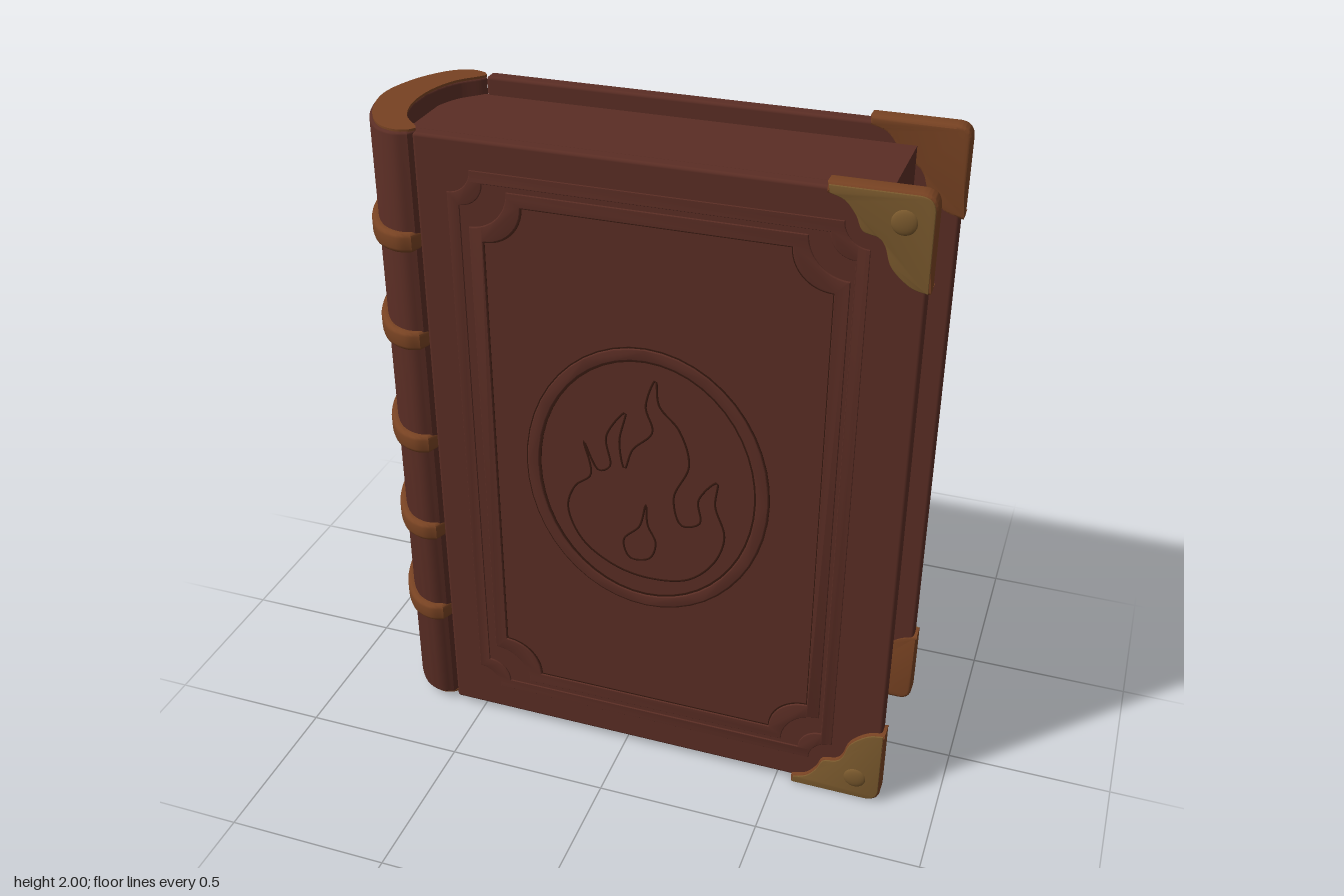
import * as THREE from 'three';
import { toCreasedNormals } from 'three/addons/utils/BufferGeometryUtils.js';
import { RoundedBoxGeometry } from 'three/addons/geometries/RoundedBoxGeometry.js';

const material = (name, color) => {
  const m = new THREE.MeshStandardMaterial({ color });
  m.name = name;
  return m;
};
const V2 = (p) => new THREE.Vector2(p[0], p[1]);

export function createModel() {
  const leather = material('brown leather', 0x5a2d24);
  const tan = material('tan leather', 0x774222);
  const gold = material('aged gold', 0x7a592d);
  const groove = material('dark groove', 0x35180f);

  const book = new THREE.Group();
  book.name = 'book';
  const add = (name, geometry, mat, x = 0, y = 0, z = 0, parent = book) => {
    const mesh = new THREE.Mesh(geometry, mat);
    mesh.name = name;
    mesh.position.set(x, y, z);
    parent.add(mesh);
    return mesh;
  };
  const extrude = (shape, depth, bevel = 0) => toCreasedNormals(new THREE.ExtrudeGeometry(shape, {
    depth: depth - 2 * bevel, bevelEnabled: bevel > 0, bevelSize: bevel, bevelThickness: bevel,
    bevelOffset: -bevel, bevelSegments: 3, curveSegments: 24,
  }).translate(0, 0, bevel), 0.6);

  // Page block
  add('pages', new THREE.BoxGeometry(1.375, 1.86, 0.45), leather, -0.0025, 1.0, 0);

  // Crescent section of the spine, grown outwards by g
  const crescent = (g) => {
    const half = [[-0.82, 0], [-0.808, 0.08], [-0.77, 0.175], [-0.71, 0.25], [-0.65, 0.272], [-0.612, 0.26]];
    const outer = half.map(([x, z]) => {
      const d = Math.hypot(x + 0.55, z);
      return [x + g * (x + 0.55) / d, z + g * z / d];
    });
    const mirror = outer.slice(1).reverse().map(([x, z]) => [x, -z]);
    const shape = new THREE.Shape();
    shape.setFromPoints(new THREE.CatmullRomCurve3(
      [...mirror, ...outer].map(([x, z]) => new THREE.Vector3(x, z, 0))).getPoints(48).map((p) => new THREE.Vector2(p.x, p.y)));
    shape.lineTo(-0.598, 0.235);
    shape.splineThru([[-0.61, 0.215], [-0.66, 0.16], [-0.69, 0.085], [-0.70, 0], [-0.69, -0.085],
      [-0.66, -0.16], [-0.61, -0.215], [-0.598, -0.235]].map(V2));
    return shape;
  };
  const upright = (g, height, bevel) => extrude(crescent(g), height, bevel).rotateX(-Math.PI / 2);
  add('spine', upright(0, 1.955, 0.008), leather, 0, 0.025);
  for (const [name, y] of [['spineTopCap', 1.979], ['spineBottomCap', 0.02]]) {
    add(name, upright(-0.009, 0.007, 0), tan, 0, y);
  }

  // Raised bands across the spine
  for (const y of [0.365, 0.68, 1.0, 1.35, 1.66]) {
    add('spineBand', upright(0.02, 0.06, 0.014), tan, 0, y - 0.03);
  }

  // Rectangle outline with scooped corners
  const scooped = (Shape, x0, y0, x1, y1, r) => {
    const shape = new Shape();
    const q = Math.PI / 2;
    [[x0, y0, q], [x1, y0, 2 * q], [x1, y1, 3 * q], [x0, y1, 0]].forEach(([x, y, a]) => {
      shape.absarc(x, y, r, a, a - q, true);
    });
    shape.closePath();
    return shape;
  };
  const scoopedFrame = (x0, y0, x1, y1, r, w) => {
    const shape = scooped(THREE.Shape, x0, y0, x1, y1, r);
    shape.holes.push(scooped(THREE.Path, x0 + w, y0 + w, x1 - w, y1 - w, r));
    return shape;
  };
  const ovalRing = (rx, ry, w) => {
    const shape = new THREE.Shape().absellipse(0.07, 1.005, rx, ry, 0, Math.PI * 2);
    shape.holes.push(new THREE.Path().absellipse(0.07, 1.005, rx - w, ry - w, 0, Math.PI * 2));
    return shape;
  };

  // Corner guard outline for the top corner, flipped for the bottom one
  const cornerShape = (top, inset) => {
    const fy = (y) => (top ? y : 2 - y);
    const s = new THREE.Shape();
    const x1 = 0.83 - inset, y1 = 2 - inset;
    s.moveTo(0.55 + inset, fy(y1));
    s.lineTo(x1 - 0.045, fy(y1));
    s.quadraticCurveTo(x1, fy(y1), x1, fy(y1 - 0.045));
    s.lineTo(x1, fy(1.73 + inset));
    s.splineThru([[0.775, 1.745], [0.725, 1.79], [0.705, 1.845], [0.685, 1.868],
      [0.645, 1.88], [0.625, 1.92], [0.595, 1.955], [0.55 + inset, 1.97]]
      .map(([x, y]) => new THREE.Vector2(x + inset * 0.6, fy(y + inset * 0.6))));
    s.closePath();
    return s;
  };

  // Both covers with their embossed frames and corner guards
  for (const side of [1, -1]) {
    const cover = new THREE.Group();
    cover.name = side > 0 ? 'frontCover' : 'backCover';
    book.add(cover);
    const put = (name, geometry, mat, depth, face) =>
      add(name, geometry, mat, 0, 0, side > 0 ? face : -face - depth, cover);

    add('board', new RoundedBoxGeometry(1.415, 1.965, 0.046, 3, 0.01), leather, 0.1125, 1.0025, side * 0.245, cover);
    put('outerFrame', extrude(scoopedFrame(-0.5, 0.11, 0.67, 1.9, 0.07, 0.035), 0.006, 0.0025), leather, 0.006, 0.267);
    put('innerFrame', extrude(scoopedFrame(-0.44, 0.16, 0.625, 1.85, 0.115, 0.04), 0.007, 0.003), leather, 0.007, 0.267);
    put('frameGroove', extrude(scoopedFrame(-0.402, 0.198, 0.587, 1.812, 0.115, 0.005), 0.002), groove, 0.002, 0.267);

    for (const top of [true, false]) {
      put('cornerGuard', extrude(cornerShape(top, 0), 0.058, 0.01), tan, 0.058, 0.221);
      put('cornerFace', extrude(cornerShape(top, 0.005), 0.005, 0.002), gold, 0.005, 0.277);
      const rivet = add('cornerRivet', new THREE.SphereGeometry(0.035, 20, 12), gold,
        0.75, top ? 1.92 : 0.08, side * 0.28, cover);
      rivet.scale.z = 0.3;
    }
  }

  // Oval medallion on the front cover
  const medallion = new THREE.Group();
  medallion.name = 'medallion';
  book.add(medallion);
  add('medallionRing', extrude(ovalRing(0.367, 0.437, 0.036), 0.008, 0.003), leather, 0, 0, 0.266, medallion);
  for (const [rx, ry] of [[0.371, 0.441], [0.331, 0.401]]) {
    add('medallionGroove', extrude(ovalRing(rx, ry, 0.006), 0.002), groove, 0, 0, 0.268, medallion);
  }

  // Engraved flame lines
  const flames = [
    [[-0.12, 1.11], [-0.10, 1.0], [-0.15, 0.95], [-0.175, 0.87], [-0.13, 0.76], [-0.03, 0.69], [0.08, 0.668],
      [0.2, 0.69], [0.28, 0.77], [0.31, 0.87], [0.28, 0.97], [0.285, 1.05], [0.23, 0.98], [0.235, 0.9],
      [0.18, 0.88], [0.155, 0.97], [0.2, 1.09], [0.17, 1.2], [0.11, 1.27], [0.1, 1.35], [0.07, 1.26],
      [0.09, 1.18], [0.03, 1.11], [0.005, 1.04], [-0.01, 1.13], [0.01, 1.23], [-0.05, 1.14], [-0.04, 1.04], [-0.075, 1.02]],
    [[0.07, 0.93], [0.05, 0.85], [0.0, 0.79], [0.02, 0.73], [0.08, 0.74], [0.1, 0.8], [0.075, 0.86]],
  ];
  for (const points of flames) {
    const curve = new THREE.CatmullRomCurve3(points.map(([x, y]) => new THREE.Vector3(x, y, 0)), true);
    const line = add('flameLine', new THREE.TubeGeometry(curve, points.length * 8, 0.0035, 6, true), groove,
      0, 0, 0.268, medallion);
    line.scale.z = 0.5;
  }
  return book;
}
